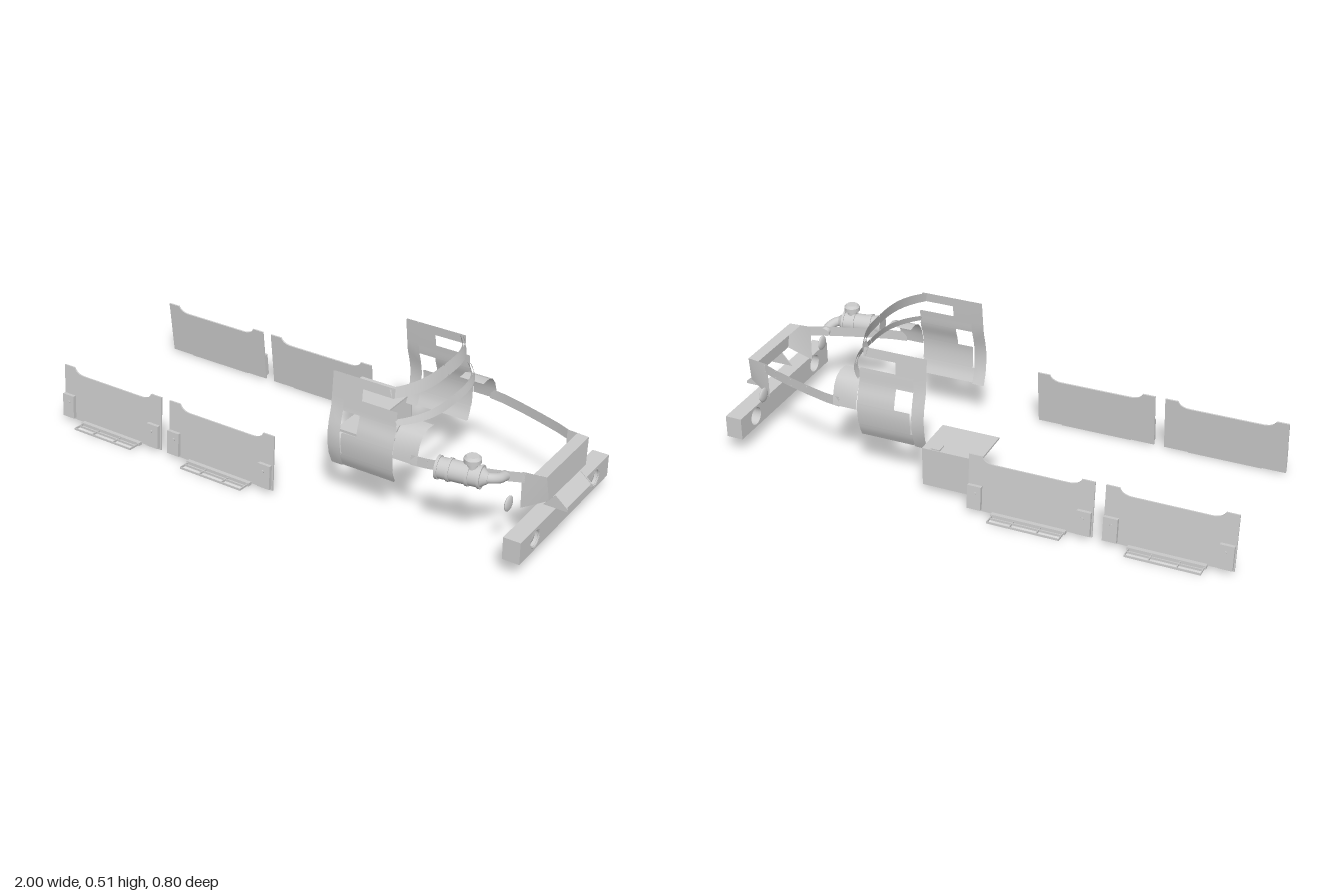
import * as THREE from 'three';

const V = (x, y, z) => new THREE.Vector3(x, y, z);

export function createModel() {
  const root = new THREE.Group();
  const solid = new THREE.MeshStandardMaterial({ color: 0xcccccc });
  const sheet = new THREE.MeshStandardMaterial({ color: 0xcccccc, side: THREE.DoubleSide });

  function add(parent, name, geo, mat = solid) {
    const m = new THREE.Mesh(geo, mat);
    m.name = name;
    parent.add(m);
    return m;
  }
  // box given by its min and max on each axis
  function box(parent, name, x0, x1, y0, y1, z0, z1) {
    const m = add(parent, name, new THREE.BoxGeometry(x1 - x0, y1 - y0, z1 - z0));
    m.position.set((x0 + x1) / 2, (y0 + y1) / 2, (z0 + z1) / 2);
    return m;
  }
  // sheet metal lofted through rows of points
  function loft(parent, name, rows) {
    const n = rows[0].length, idx = [];
    for (let i = 0; i < rows.length - 1; i++)
      for (let j = 0; j < n - 1; j++) {
        const a = i * n + j, b = a + n;
        idx.push(a, b, a + 1, b, b + 1, a + 1);
      }
    const g = new THREE.BufferGeometry().setFromPoints(rows.flat());
    g.setIndex(idx);
    g.computeVertexNormals();
    return add(parent, name, g, sheet);
  }
  function cyl(parent, name, r0, r1, a, b, seg = 24) {
    const d = b.clone().sub(a);
    const m = add(parent, name, new THREE.CylinderGeometry(r1, r0, d.length(), seg));
    m.position.copy(a).add(b).multiplyScalar(0.5);
    m.quaternion.setFromUnitVectors(V(0, 1, 0), d.normalize());
    return m;
  }

  // --- four slanted skirt panels with brackets and folding steps ---
  const outline = new THREE.Shape();
  outline.moveTo(-0.233, 0.01);
  outline.lineTo(0.233, 0.01);
  outline.lineTo(0.233, 0.225);
  outline.lineTo(0.185, 0.225);
  outline.quadraticCurveTo(0.175, 0.2, 0.135, 0.2);
  outline.lineTo(-0.135, 0.2);
  outline.quadraticCurveTo(-0.175, 0.2, -0.185, 0.225);
  outline.lineTo(-0.233, 0.225);
  const panelGeo = new THREE.ExtrudeGeometry(outline, { depth: 0.006, bevelEnabled: false });
  for (const cx of [-0.767, -0.262])
    for (const s of [1, -1]) {
      const skirt = new THREE.Group();
      skirt.name = 'skirtPanel';
      skirt.position.x = cx;
      if (s < 0) skirt.rotation.y = Math.PI;
      root.add(skirt);
      const slant = new THREE.Group();
      slant.name = 'slantedPanel';
      slant.position.z = 0.331;
      slant.rotation.x = -0.08;
      skirt.add(slant);
      add(slant, 'panel', panelGeo);
      for (const e of [-1, 1]) {
        const b = box(slant, 'bracket', -0.026, 0.026, 0.02, 0.112, 0.01, 0.024);
        b.position.x = e * 0.204;
        const k = cyl(slant, 'bracketBolt', 0.006, 0.006, V(e * 0.2, 0.085, 0.022), V(e * 0.2, 0.085, 0.028), 10);
        k.name = 'bracketBolt';
      }
      const step = new THREE.Group();
      step.name = 'step';
      step.position.set(0, 0.008, 0.335);
      step.rotation.x = -0.06;
      skirt.add(step);
      box(step, 'stepHinge', -0.14, 0.14, -0.004, 0.008, 0, 0.018);
      for (const z of [0.035, 0.062]) box(step, 'stepRail', -0.135, 0.135, -0.003, 0.005, z - 0.0015, z + 0.0015);
      for (const x of [-0.134, -0.05, 0.05, 0.134]) box(step, 'stepBar', x - 0.0015, x + 0.0015, -0.003, 0.005, 0.015, 0.063);
    }

  // --- open channel box beside the cab ---
  const channel = new THREE.Group();
  channel.name = 'sideBox';
  root.add(channel);
  box(channel, 'boxTop', -0.055, 0.168, 0.176, 0.183, -0.285, -0.115);
  box(channel, 'boxBottom', -0.055, 0.168, 0.032, 0.042, -0.285, -0.115);
  box(channel, 'boxWall', -0.055, 0.168, 0.032, 0.183, -0.289, -0.282);
  box(channel, 'boxLatch', 0.1, 0.135, 0.18, 0.188, -0.286, -0.25);
  loft(channel, 'boxGusset', [
    [V(0.15, 0.042, -0.2), V(0.15, 0.042, -0.284)],
    [V(0.15, 0.07, -0.245), V(0.15, 0.07, -0.284)]]);

  // --- cab sides: sheets that follow one curved cross-section ---
  const section = new THREE.CatmullRomCurve3([[0.155, 0.25], [0.2, 0.269], [0.27, 0.278], [0.32, 0.272],
    [0.37, 0.256], [0.42, 0.249], [0.515, 0.238]].map(([y, z]) => V(0, y, z)));
  const sectionPts = section.getPoints(60);
  const zAt = y => {
    const i = Math.max(1, sectionPts.findIndex(p => p.y >= y));
    const a = sectionPts[i - 1], b = sectionPts[i];
    return a.z + (b.z - a.z) * (y - a.y) / (b.y - a.y);
  };
  const patches = [
    ['rearPillar', 0.167, 0.213, 0.157, 0.51],
    ['upperCorner', 0.215, 0.285, 0.43, 0.51],
    ['roofRail', 0.285, 0.41, 0.477, 0.51],
    ['beltBand', 0.215, 0.425, 0.378, 0.43],
    ['doorUpper', 0.283, 0.427, 0.3, 0.378],
    ['doorMiddle', 0.222, 0.427, 0.215, 0.3],
    ['doorLower', 0.215, 0.425, 0.162, 0.213]];
  const fender = [[0.38, 0.17], [0.382, 0.21], [0.37, 0.24], [0.345, 0.26], [0.31, 0.272], [0.272, 0.277]];
  const strap = [[0.5, 0.275], [0.56, 0.266], [0.65, 0.242], [0.73, 0.217], [0.81, 0.19], [0.87, 0.164]];
  for (const s of [1, -1]) {
    const side = new THREE.Group();
    side.name = s > 0 ? 'frontCabSide' : 'backCabSide';
    root.add(side);
    for (const [name, x0, x1, y0, y1] of patches)
      for (const t of [0, 0.005]) {
        const rows = [];
        for (let i = 0; i <= 8; i++) {
          const y = y0 + (y1 - y0) * i / 8;
          rows.push([V(x0, y, s * (zAt(y) - t)), V(x1, y, s * (zAt(y) - t))]);
        }
        loft(side, name, rows);
      }
    loft(side, 'cowl', fender.map(([y, z]) => [V(0.43, y, s * z), V(0.525, y, s * z)]));
    loft(side, 'hoodStrap', strap.map(([x, z]) => [V(x, 0.268, s * z), V(x, 0.307, s * z)]));
    for (const [x, z] of strap)
      for (const y of [0.275, 0.3]) cyl(side, 'rivet', 0.002, 0.002, V(x, y, s * z), V(x, y, s * (z + 0.003)), 6);
    loft(side, 'nosePlate', [
      [V(0.86, 0.308, s * 0.165), V(0.945, 0.31, s * 0.155)],
      [V(0.86, 0.165, s * 0.162), V(0.95, 0.212, s * 0.138)]]);

    // windscreen ribbons, split at the middle
    for (const [name, y0, y1, x0, x1, drop, half] of [
      ['upperScreenBar', 0.476, 0.516, 0.478, 0.468, 0.075, 0.243],
      ['lowerScreenBar', 0.386, 0.41, 0.516, 0.508, 0.085, 0.253]])
      for (const t of [0, 0.006]) {
        const rows = [];
        for (let i = 0; i <= 16; i++) {
          const u = Math.sin(i / 16 * Math.PI / 2), z = s * (0.002 + (half - 0.002 - t) * u);
          const d = drop * Math.pow(u, 3) + t, sag = 0.008 * u * u * u;
          rows.push([V(x0 - d, y0, z), V(x1 - d, y1 - sag, z)]);
        }
        loft(side, name, rows);
      }

    // floating lamp behind the bumper
    const lamp = add(side, 'lampLens', new THREE.SphereGeometry(0.028, 24, 16));
    lamp.scale.x = 0.3;
    lamp.position.set(0.847, 0.212, s * 0.225);

    // lamp set in the bumper
    const bulb = add(side, 'bumperLamp', new THREE.SphereGeometry(0.029, 24, 16));
    bulb.scale.x = 0.4;
    bulb.position.set(0.93, 0.112, s * 0.225);
    const ring = add(side, 'bumperLampRing', new THREE.TorusGeometry(0.032, 0.003, 8, 32));
    ring.rotation.y = Math.PI / 2;
    ring.position.set(0.948, 0.112, s * 0.225);
  }

  // --- nose and bumper ---
  loft(root, 'noseFront', [
    [V(0.945, 0.31, -0.155), V(0.945, 0.31, 0.155)],
    [V(0.95, 0.212, -0.138), V(0.95, 0.212, 0.138)]]);
  loft(root, 'noseLip', [
    [V(0.9, 0.309, -0.16), V(0.9, 0.309, 0.16)],
    [V(0.945, 0.31, -0.155), V(0.945, 0.31, 0.155)]]);
  loft(root, 'noseSkid', [
    [V(0.95, 0.212, -0.093), V(0.95, 0.212, 0.093)],
    [V(0.995, 0.173, -0.093), V(0.995, 0.173, 0.093)]]);
  const rib = new THREE.Shape([[0.91, 0.162], [1, 0.162], [1, 0.172], [0.953, 0.212]].map(p => new THREE.Vector2(...p)));
  for (const z of [-0.095, 0.091])
    add(root, 'skidRib', new THREE.ExtrudeGeometry(rib, { depth: 0.004, bevelEnabled: false })).position.z = z;

  const face = new THREE.Shape([[-0.33, 0.068], [0.33, 0.068], [0.33, 0.153], [-0.33, 0.153]].map(p => new THREE.Vector2(...p)));
  for (const z of [-0.225, 0.225]) {
    const hole = new THREE.Path();
    hole.absarc(z, 0.112, 0.034, 0, Math.PI * 2, true);
    face.holes.push(hole);
  }
  const bumper = add(root, 'bumper', new THREE.ExtrudeGeometry(face, { depth: 0.064, bevelEnabled: false, curveSegments: 24 }));
  bumper.rotation.y = Math.PI / 2;
  bumper.position.x = 0.887;

  // --- air filter with cap and elbow pipe ---
  const filter = new THREE.Group();
  filter.name = 'airFilter';
  root.add(filter);
  const a = V(0.61, 0.305, 0.288), b = V(0.77, 0.305, 0.262);
  const at = t => a.clone().lerp(b, t);
  cyl(filter, 'filterBody', 0.037, 0.037, at(0.02), at(0.95), 32);
  for (const [t0, t1] of [[0, 0.06], [0.25, 0.31], [0.66, 0.72], [0.92, 0.97]])
    cyl(filter, 'filterBand', 0.041, 0.041, at(t0), at(t1), 32);
  cyl(filter, 'filterCone', 0.036, 0.018, at(0.95), at(1.1), 24);
  cyl(filter, 'capStem', 0.018, 0.018, V(0.732, 0.33, 0.272), V(0.732, 0.365, 0.272));
  cyl(filter, 'cap', 0.03, 0.03, V(0.732, 0.357, 0.272), V(0.732, 0.372, 0.272));
  cyl(filter, 'capTop', 0.03, 0.021, V(0.732, 0.372, 0.272), V(0.732, 0.381, 0.272));
  const pipe = new THREE.CatmullRomCurve3([at(1), V(0.79, 0.304, 0.252), V(0.806, 0.296, 0.225), V(0.808, 0.285, 0.183)]);
  add(filter, 'elbowPipe', new THREE.TubeGeometry(pipe, 20, 0.018, 16), sheet);

  return root;
}
